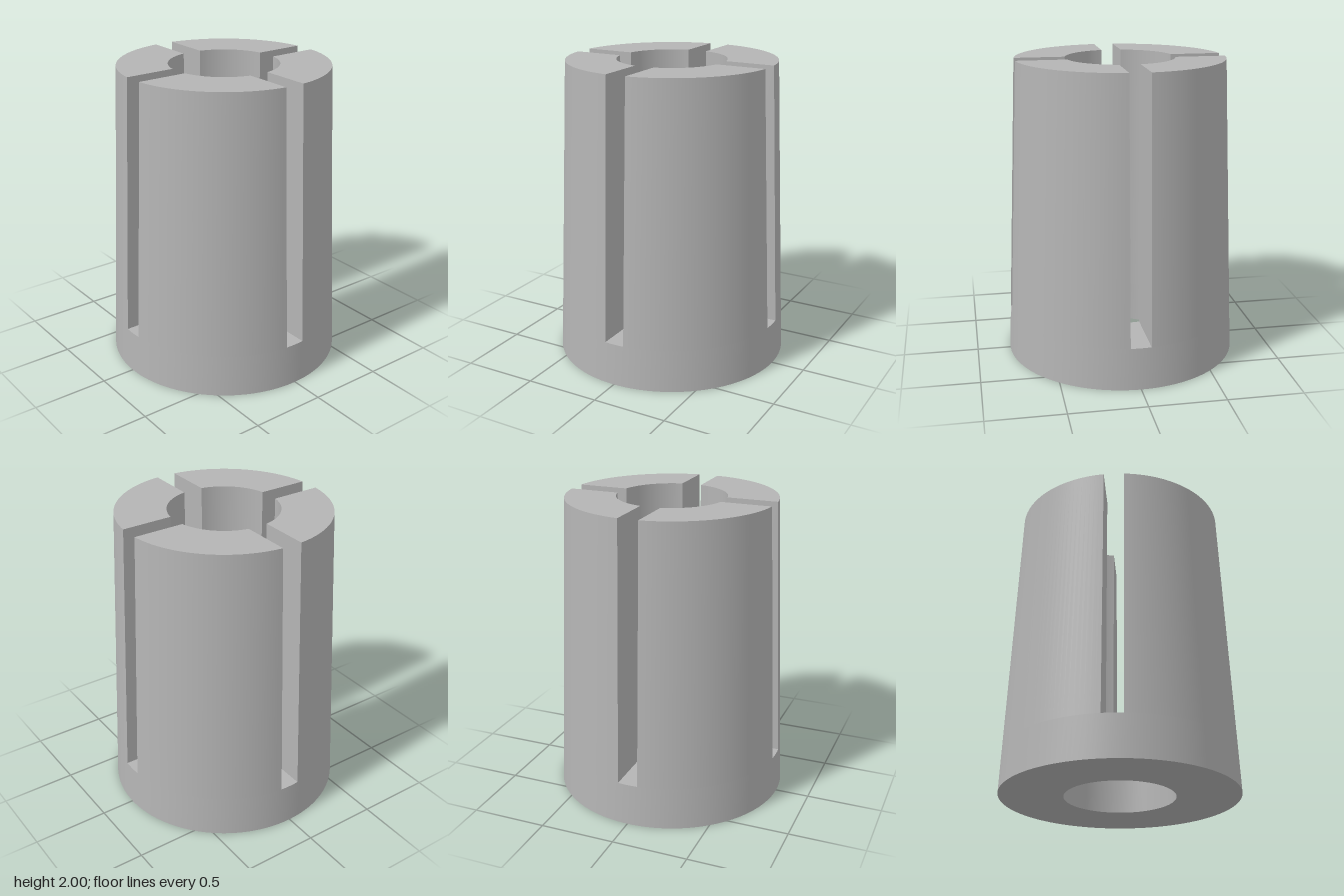
import * as THREE from 'three';
import { mergeGeometries, toCreasedNormals } from 'three/addons/utils/BufferGeometryUtils.js';

const HEIGHT = 2, FLOOR = 0.28;            // overall height and slot floor height
const BASE_R = 0.775, TOP_R = 0.69, BORE = 0.36;
const SLOT = 0.067;                        // half the slot width

const outerRadius = (y) => BASE_R + (TOP_R - BASE_R) * y / HEIGHT;
const slotAngle = (r) => Math.asin(SLOT / r);
const mix = THREE.MathUtils.lerp;

// Angle ranges at radius r: u runs across a jaw or across a slot
const jawAngle = (u, r) => mix(slotAngle(r), Math.PI / 2 - slotAngle(r), u);
const gapAngle = (u, r) => mix(-slotAngle(r), slotAngle(r), u);

const polar = (t, y, r) => [r * Math.sin(t), y, r * Math.cos(t)];

// Grid of quads over u, v in 0..1, facing along du x dv
function patch(point, nu, nv = 1) {
  const positions = [], index = [];
  for (let j = 0; j <= nv; j++)
    for (let i = 0; i <= nu; i++) positions.push(...point(i / nu, j / nv));
  for (let j = 0; j < nv; j++)
    for (let i = 0; i < nu; i++) {
      const a = j * (nu + 1) + i, b = a + 1, c = a + nu + 1, d = c + 1;
      index.push(a, b, d, a, d, c);
    }
  const geometry = new THREE.BufferGeometry();
  geometry.setAttribute('position', new THREE.Float32BufferAttribute(positions, 3));
  geometry.setIndex(index);
  return geometry;
}

// Tapered outside, straight bore and flat ring sector
const outerWall = (angle, y0, y1, n) => patch((u, v) => {
  const y = mix(y0, y1, v), r = outerRadius(y);
  // below the slots the sector edges stay vertical
  return polar(angle(u, y < FLOOR ? outerRadius(FLOOR) : r), y, r);
}, n);
const boreWall = (angle, y0, y1, n) =>
  patch((u, v) => polar(angle(1 - u, BORE), mix(y0, y1, v), BORE), n);
const ringTop = (angle, y, n) => patch((u, v) => {
  const r = mix(outerRadius(y), BORE, v);
  return polar(angle(u, r), y, r);
}, n);
const ringBottom = (angle, n) => patch((u, v) => {
  const edge = v === 0 ? BORE : outerRadius(FLOOR);
  return polar(angle(u, edge), 0, v === 0 ? BORE : BASE_R);
}, n);

// Flat slot wall at one end of a jaw
const slotWall = (end) => patch((u, v) => {
  const y = mix(FLOOR, HEIGHT, v);
  const r = mix(BORE, outerRadius(y), end ? 1 - u : u);
  return polar(jawAngle(end, r), y, r);
}, 1);

const finish = (parts) => toCreasedNormals(mergeGeometries(parts), 0.6);

export function createModel() {
  const model = new THREE.Group();
  model.name = 'slottedCollet';
  const steel = new THREE.MeshStandardMaterial({ name: 'grey steel', color: 0xb4b4b4 });

  const jawGeometry = finish([
    outerWall(jawAngle, FLOOR, HEIGHT, 32),
    boreWall(jawAngle, FLOOR, HEIGHT, 32),
    ringTop(jawAngle, HEIGHT, 32),
    slotWall(0),
    slotWall(1),
  ]);

  // Solid collar joining the jaws, with the slot floors on top
  const collarParts = [];
  for (let k = 0; k < 4; k++) {
    const quarter = [
      outerWall(jawAngle, 0, FLOOR, 32), outerWall(gapAngle, 0, FLOOR, 4),
      boreWall(jawAngle, 0, FLOOR, 32), boreWall(gapAngle, 0, FLOOR, 4),
      ringBottom(jawAngle, 32), ringBottom(gapAngle, 4),
      ringTop(gapAngle, FLOOR, 4),
    ];
    for (const part of quarter) collarParts.push(part.rotateY(k * Math.PI / 2));
  }
  const collar = new THREE.Mesh(finish(collarParts), steel);
  collar.name = 'baseCollar';
  model.add(collar);

  // Four jaws separated by the cross slots
  const names = ['frontLeftJaw', 'backLeftJaw', 'backRightJaw', 'frontRightJaw'];
  names.forEach((name, k) => {
    const jaw = new THREE.Mesh(jawGeometry, steel);
    jaw.name = name;
    jaw.rotation.y = k * Math.PI / 2;
    model.add(jaw);
  });
  return model;
}
